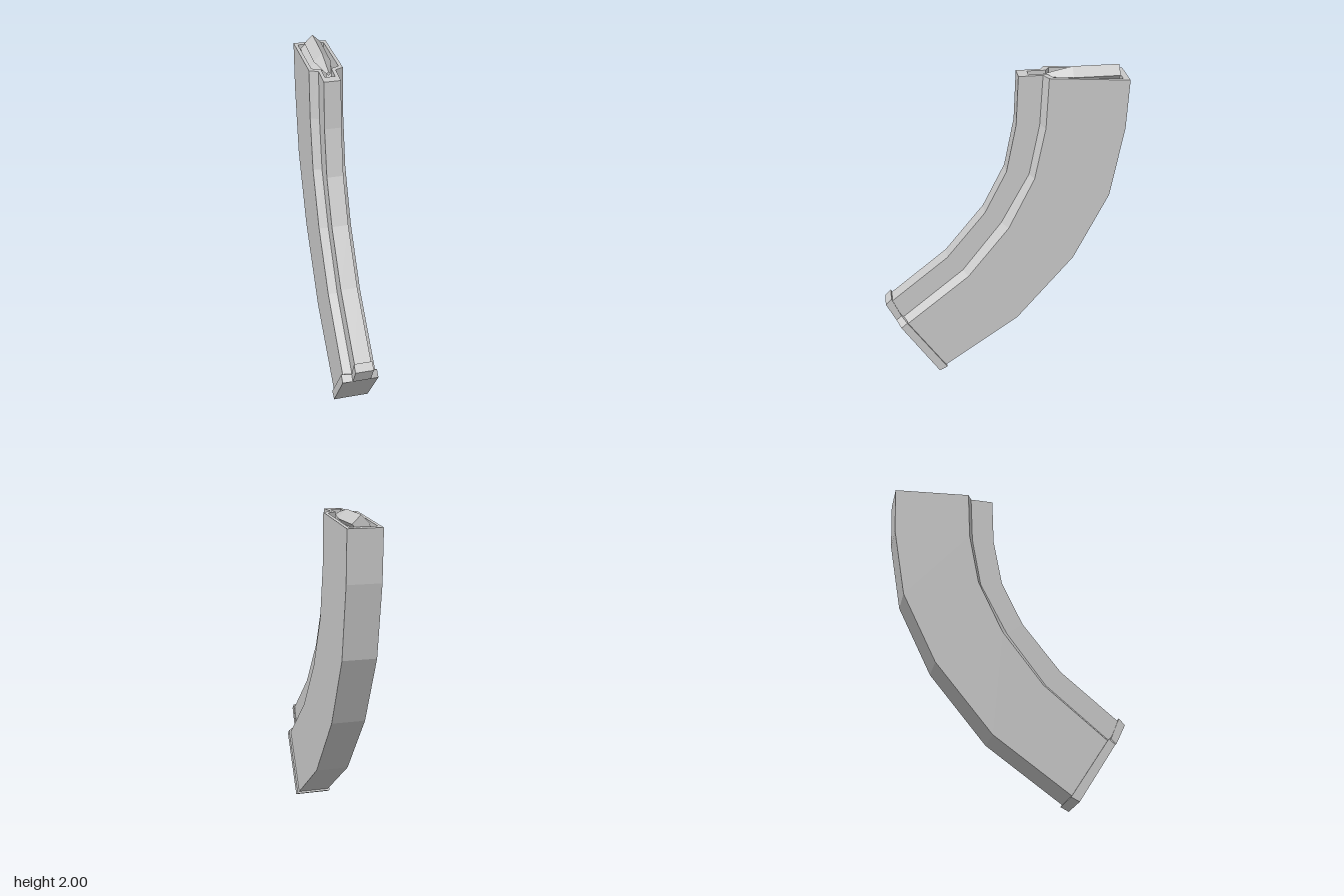
import * as THREE from 'three';

const material = new THREE.MeshStandardMaterial({ color: 0xcccccc, flatShading: true });

// T-shaped ring: narrow front rib (half width n), wide body (half width w).
// Each of front, inner step, outer step and back is a [z, y] pair.
function ring(n, w, [front, inner, outer, back]) {
  const half = [[n, front], [n, inner], [w, outer], [w, back]];
  const left = half.map(([x, [z, y]]) => [x, y, z]);
  const right = half.map(([x, [z, y]]) => [-x, y, z]).reverse();
  return [...left, ...right];
}

// Skin a list of rings and close both ends
function loft(rings) {
  const pos = [];
  const quad = (a, b, c, d) => pos.push(...a, ...b, ...c, ...a, ...c, ...d);
  for (let s = 0; s < rings.length - 1; s++) {
    const lo = rings[s], hi = rings[s + 1];
    for (let i = 0; i < 8; i++) {
      const j = (i + 1) % 8;
      quad(lo[i], lo[j], hi[j], hi[i]);
    }
  }
  const first = rings[0], last = rings[rings.length - 1];
  for (let i = 0; i < 3; i++) {
    quad(last[i], last[i + 1], last[6 - i], last[7 - i]);
    quad(first[7 - i], first[6 - i], first[i + 1], first[i]);
  }
  const geometry = new THREE.BufferGeometry();
  geometry.setAttribute('position', new THREE.Float32BufferAttribute(pos, 3));
  geometry.computeVertexNormals();
  return geometry;
}

function addPart(group, name, geometry) {
  const mesh = new THREE.Mesh(geometry, material);
  mesh.name = name;
  group.add(mesh);
  return mesh;
}

export function createModel() {
  const group = new THREE.Group();
  group.name = 'curvedMagazine';

  // Curved casing, from the foot up to the rim
  const stations = [
    [[0.69, 0.525], [0.625, 0.40], [0.60, 0.38], [0.37, 0.033]],
    [[0.335, 0.817], [0.24, 0.72], [0.212, 0.70], [-0.095, 0.365]],
    [[0.10, 1.113], [0.0, 1.04], [-0.037, 1.023], [-0.44, 0.785]],
    [[-0.03, 1.38], [-0.165, 1.357], [-0.19, 1.347], [-0.645, 1.21]],
    [[-0.085, 1.675], [-0.222, 1.67], [-0.25, 1.667], [-0.717, 1.64]],
    [[-0.095, 1.97], [-0.235, 1.97], [-0.262, 1.968], [-0.727, 1.935]],
  ];
  const rings = stations.map((s) => ring(0.05, 0.1, s));
  // Rim, then the inner walls down to the follower
  const mouth = [[-0.155, 1.97], [-0.262, 1.969], [-0.29, 1.966], [-0.69, 1.938]];
  rings.push(ring(0.03, 0.08, mouth));
  rings.push(ring(0.03, 0.08, mouth.map(([z, y]) => [z, y - 0.08])));
  addPart(group, 'casing', loft(rings));

  // Floor plate, slightly wider than the casing
  addPart(group, 'floorPlate', loft([
    ring(0.055, 0.11, [[0.727, 0.507], [0.667, 0.383], [0.64, 0.358], [0.41, 0.0]]),
    ring(0.055, 0.11, [[0.69, 0.545], [0.635, 0.413], [0.602, 0.392], [0.36, 0.025]]),
  ]));

  // Two staggered rounds lying in the mouth, tips forward
  const profile = [[0, -0.68], [0.05, -0.68], [0.05, -0.41], [0.035, -0.34], [0.012, -0.235], [0, -0.235]]
    .map(([r, z]) => new THREE.Vector2(r, z));
  for (const [name, x, y] of [['topRound', 0.009, 1.95], ['lowerRound', -0.016, 1.915]]) {
    const round = addPart(group, name, new THREE.LatheGeometry(profile, 4).rotateX(Math.PI / 2));
    round.position.set(x, y, 0);
  }
  return group;
}
